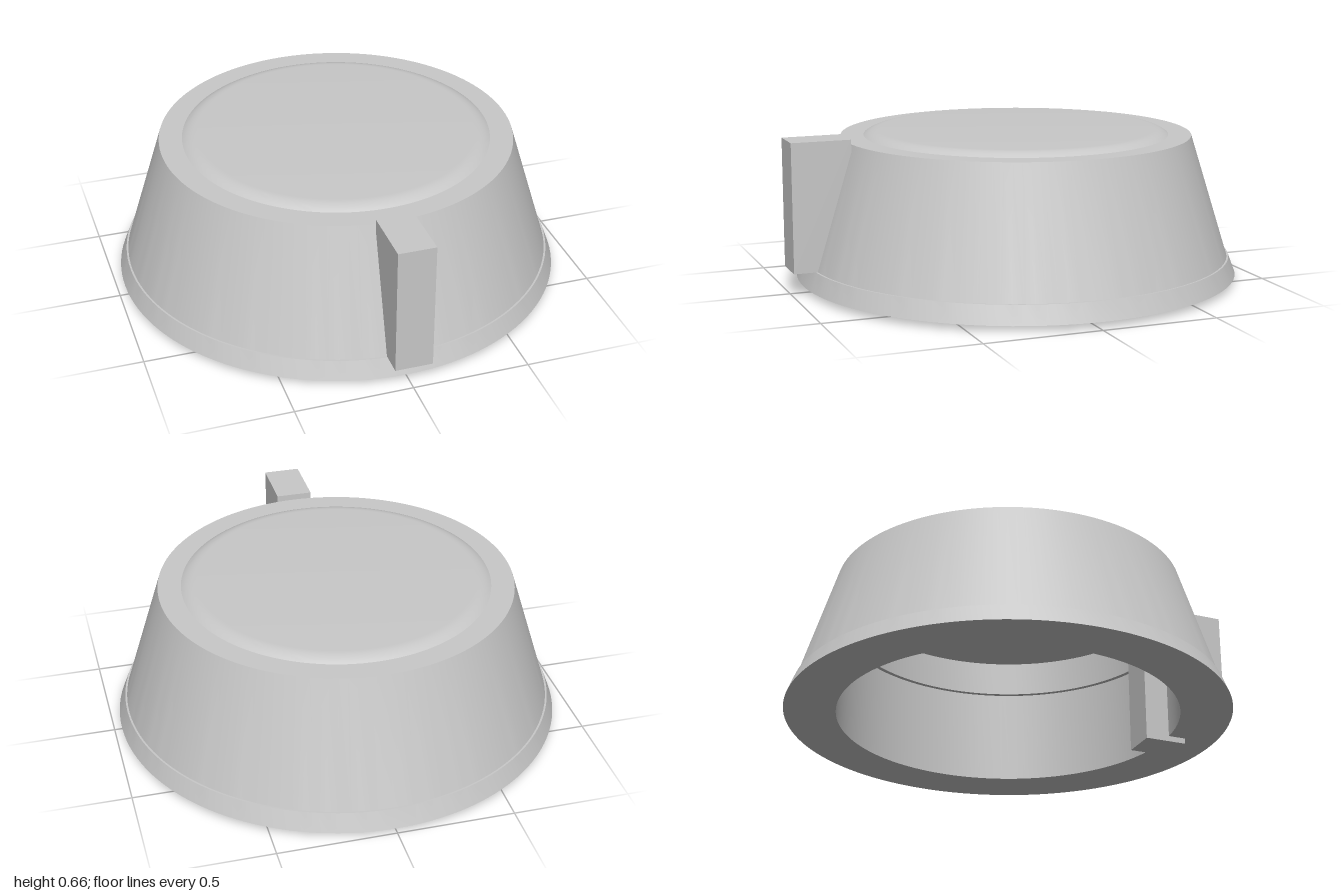
import * as THREE from 'three';
import { toCreasedNormals } from 'three/addons/utils/BufferGeometryUtils.js';

const grey = new THREE.MeshStandardMaterial({ color: 0xc8c8c8 });
grey.name = 'light grey';

const CENTRE_Z = -0.03;

// Revolve a cross-section of [radius, height] pairs, keeping its corners sharp
function revolve(name, profile) {
  const points = profile.map(([r, y]) => new THREE.Vector2(r, y));
  const geometry = toCreasedNormals(new THREE.LatheGeometry(points, 128), 0.3);
  const mesh = new THREE.Mesh(geometry, grey);
  mesh.name = name;
  mesh.position.z = CENTRE_Z;
  return mesh;
}

// Box given by its ranges in y and z, centred on x = 0
function bar(name, width, y0, y1, z0, z1) {
  const mesh = new THREE.Mesh(new THREE.BoxGeometry(width, y1 - y0, z1 - z0), grey);
  mesh.name = name;
  mesh.position.set(0, (y0 + y1) / 2, (z0 + z1) / 2);
  return mesh;
}

export function createModel() {
  const group = new THREE.Group();
  group.name = 'knobCap';

  // Rounded edge of the raised disc: an arc that ends level with its top
  const rim = [];
  const steps = 6, sweep = 0.64, run = 0.067, rise = 0.022;
  for (let i = 0; i <= steps; i++) {
    const a = sweep * (1 - i / steps);
    rim.push([
      0.6 + run * Math.sin(a) / Math.sin(sweep),
      0.635 + rise * (1 - (1 - Math.cos(a)) / (1 - Math.cos(sweep))),
    ]);
  }

  // Hollow tapered shell: flared foot, cone, raised disc, then the stepped cavity
  group.add(revolve('shell', [
    [0.97, 0.025],
    [0.94, 0.103],
    [0.932, 0.103],
    [0.767, 0.635],
    ...rim,
    [0, 0.657],
  ]));
  group.add(revolve('cavity', [
    [0, 0.615],
    [0.725, 0.615],
    [0.725, 0.455],
    [0.745, 0.455],
    [0.745, 0.025],
    [0.97, 0.025],
  ]));

  // Pointer outside and locating key inside
  group.add(bar('pointer', 0.16, 0.103, 0.659, 0.742, 1.0));
  group.add(bar('innerKey', 0.16, 0, 0.455, 0.6, 0.79));

  return group;
}
